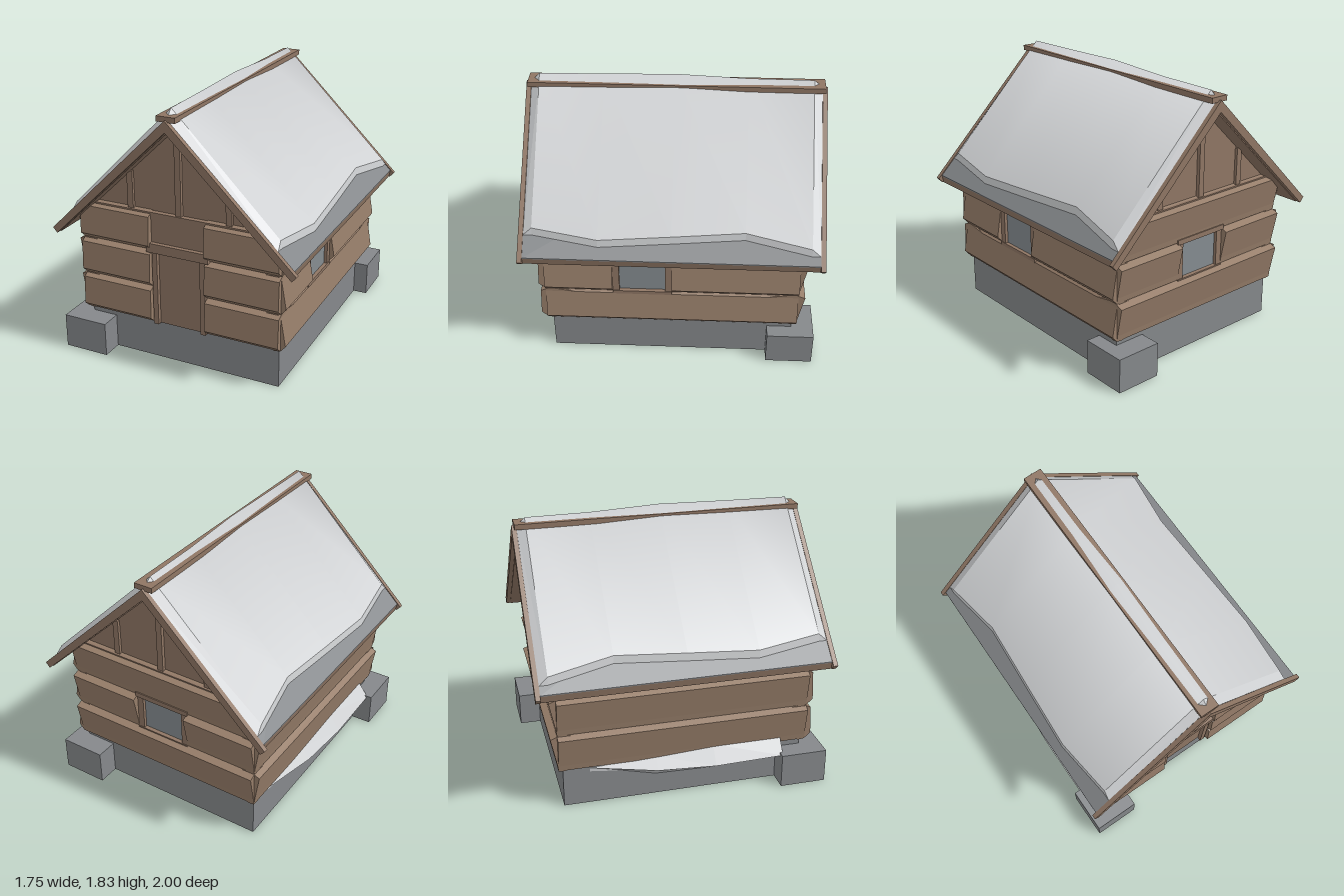
import * as THREE from 'three';

const mat = (name, color, side = THREE.FrontSide) => {
  const m = new THREE.MeshStandardMaterial({ color, side });
  m.name = name;
  return m;
};

export function createModel() {
  const model = new THREE.Group();
  model.name = 'logCabin';
  const logWood = mat('logWood', 0x967d69);
  const trimWood = mat('trimWood', 0x8f7664);
  const stone = mat('stone', 0x85888b, THREE.DoubleSide);
  const snow = mat('snow', 0xd0d2d4, THREE.DoubleSide);
  const glass = mat('windowGlass', 0x858c90);

  const add = (parent, name, geo, material) => {
    const mesh = new THREE.Mesh(geo, material);
    mesh.name = name;
    parent.add(mesh);
    return mesh;
  };
  // box given by its minimum and maximum corners
  const box = (parent, name, m, x0, x1, y0, y1, z0, z1) => {
    const mesh = add(parent, name, new THREE.BoxGeometry(x1 - x0, y1 - y0, z1 - z0), m);
    mesh.position.set((x0 + x1) / 2, (y0 + y1) / 2, (z0 + z1) / 2);
    return mesh;
  };
  // stone block without a bottom face
  const hollowBlock = (name, x0, x1, y1, z0, z1) => {
    const { geometry } = box(model, name, stone, x0, x1, 0, y1, z0, z1);
    const faces = Array.from(geometry.index.array);
    faces.splice(18, 6);
    geometry.setIndex(faces);
    geometry.clearGroups();
  };
  const prism = (parent, name, m, pts, z0, z1) => {
    const shape = new THREE.Shape(pts.map(p => new THREE.Vector2(p[0], p[1])));
    const geo = new THREE.ExtrudeGeometry(shape, { depth: z1 - z0, bevelEnabled: false });
    return add(parent, name, geo.translate(0, 0, z0), m);
  };
  // skin over a row of cross-sections, each a list of [x, y, z]
  const skin = (name, m, sections, smooth = false) => {
    const n = sections[0].length, index = [];
    for (let i = 0; i < sections.length - 1; i++) {
      for (let j = 0; j < n - 1; j++) {
        const a = i * n + j, b = a + n;
        index.push(a, b, b + 1, a, b + 1, a + 1);
      }
    }
    let geo = new THREE.BufferGeometry();
    geo.setAttribute('position', new THREE.Float32BufferAttribute(sections.flat(2), 3));
    geo.setIndex(index);
    if (!smooth) geo = geo.toNonIndexed();
    geo.computeVertexNormals();
    return add(model, name, geo, m);
  };

  // Stone footing, open underneath, with two corner blocks
  hollowBlock('foundation', -0.7, 0.7, 0.275, -0.83, 0.83);
  hollowBlock('frontCornerBlock', -0.84, -0.52, 0.238, 0.66, 0.98);
  hollowBlock('backCornerBlock', 0.48, 0.8, 0.238, -0.98, -0.66);

  // Wall core behind the logs
  box(model, 'wallCore', trimWood, -0.62, 0.62, 0.28, 1.0, -0.77, 0.77);

  // Each wall is built facing +x and turned into place; u runs along the wall
  const makeWall = (name, angle, plane, bottomOut, topOut) => {
    const wall = new THREE.Group();
    wall.name = name;
    wall.rotation.y = angle;
    model.add(wall);
    const log = (row, u0, u1, h = 0.275) => {
      const y = 0.28 + row * 0.265, d = plane;
      prism(wall, 'log', logWood, [
        [d - 0.2, y + 0.045], [d - 0.04, y], [d, y + 0.005], [d + bottomOut, y + 0.045],
        [d + topOut, y + h - 0.03], [d - 0.03, y + h], [d - 0.2, y + h - 0.03],
      ], u0, u1);
    };
    return { wall, log };
  };
  const addWindow = (wall, d, u0, u1) => {
    box(wall, 'windowGlass', glass, d - 0.03, d - 0.022, 0.54, 0.81, u0 + 0.04, u1 - 0.04);
    box(wall, 'windowSill', trimWood, d - 0.1, d + 0.005, 0.525, 0.55, u0, u1);
    box(wall, 'windowLintel', trimWood, d - 0.1, d + 0.01, 0.8, 0.835, u0 - 0.01, u1 + 0.01);
    for (const u of [u0, u1 - 0.045])
      box(wall, 'windowJamb', trimWood, d - 0.1, d, 0.55, 0.8, u, u + 0.045);
  };

  // Front wall with the door
  const front = makeWall('frontWall', -Math.PI / 2, 0.86, 0.045, 0.035);
  for (let row = 0; row < 3; row++) {
    front.log(row, -0.72, -0.2);
    front.log(row, 0.2, 0.72);
  }
  box(front.wall, 'door', trimWood, 0.76, 0.845, 0.275, 0.81, -0.16, 0.16);
  for (const s of [-0.175, 0.175])
    box(front.wall, 'doorJamb', trimWood, 0.76, 0.875, 0.275, 0.81, s - 0.018, s + 0.018);
  box(front.wall, 'doorLintel', trimWood, 0.76, 0.89, 0.805, 0.87, -0.225, 0.225);
  box(front.wall, 'panelOverDoor', trimWood, 0.76, 0.86, 0.87, 1.03, -0.2, 0.2);

  // Back wall with a centred window
  const back = makeWall('backWall', Math.PI / 2, 0.86, 0.005, 0.045);
  back.log(0, -0.72, 0.72);
  back.log(1, -0.72, -0.2);
  back.log(1, 0.2, 0.72);
  back.log(2, -0.72, 0.72);
  addWindow(back.wall, 0.86, -0.2, 0.2);

  // Left wall with a window, right wall plain
  const left = makeWall('leftWall', 0, 0.72, 0.035, 0.0);
  left.log(0, -0.86, 0.86);
  left.log(1, -0.86, 0);
  left.log(1, 0.4, 0.86);
  left.log(2, -0.86, 0.86, 0.2);
  addWindow(left.wall, 0.72, 0, 0.4);
  const right = makeWall('rightWall', Math.PI, 0.72, 0.005, 0.038);
  for (let row = 0; row < 3; row++) right.log(row, -0.86, 0.86, row === 2 ? 0.17 : 0.275);

  // Gables with beam and battens at both ends
  prism(model, 'gable', trimWood, [[-0.7, 1.0], [0.7, 1.0], [0, 1.7]], -0.83, 0.83);
  for (const s of [-1, 1]) {
    const slab = (name, x0, x1, y0, y1, out) =>
      box(model, name, trimWood, x0, x1, y0, y1, Math.min(s * 0.78, s * out), Math.max(s * 0.78, s * out));
    slab('gableBeam', -0.64, 0.64, 1.03, 1.08, 0.865);
    slab('centreBatten', -0.021, 0.021, 1.08, 1.68, 0.855);
    for (const x of [-0.355, 0.355]) slab('sideBatten', x - 0.021, x + 0.021, 1.08, 1.335, 0.85);
  }

  // Roof: wooden deck, thin stone covering, barge boards and ridge cap
  const chevron = (xo, yo, top, xi, yi, inner) =>
    [[-xi, yi], [0, inner], [xi, yi], [xo, yo], [0, top], [-xo, yo]];
  prism(model, 'roofDeck', trimWood, chevron(0.845, 0.915, 1.73, 0.835, 0.867, 1.67), -0.97, 0.97);
  prism(model, 'roofCovering', stone, chevron(0.845, 0.922, 1.742, 0.845, 0.915, 1.73), -0.968, 0.968);
  for (const z of [-1, 0.968])
    prism(model, 'bargeBoards', trimWood, chevron(0.873, 0.902, 1.757, 0.842, 0.867, 1.68), z, z + 0.032);
  box(model, 'ridgeCap', trimWood, -0.065, 0.065, 1.742, 1.778, -0.985, 0.985);

  // Roof snow as [z, eave x, ridge y]: it rises through the ridge cap
  const rows = [[-0.91, 0.802, 1.805], [-0.48, 0.735, 1.808], [0, 0.762, 1.83], [0.48, 0.787, 1.82], [0.91, 0.738, 1.815]];
  const roofY = x => 1.746 - 0.97 * x;
  const slope = ([z, x, y]) => {
    const e = x - 0.008, top = roofY(x) + 0.052;
    return [[e, top, z], [0, y, z], [-e, top, z]];
  };
  skin('roofSnow', snow, rows.map(slope), true);
  const first = rows[0], last = rows[rows.length - 1];
  for (const [z, row] of [[-0.967, first], [0.967, last]]) {
    const x = row[1];
    skin('roofSnowEnd', snow, [[[x, roofY(x), z], [0, 1.755, z], [-x, roofY(x), z]], slope(row)]);
  }
  for (const s of [-1, 1]) {
    const edge = rows.map(([z, x]) => [[s * x, roofY(x), z], [s * (x - 0.008), roofY(x) + 0.052, z]]);
    const tip = (z, x) => [[s * x, roofY(x), z], [s * x, roofY(x), z]];
    skin('roofSnowEdge', snow, [tip(-0.967, first[1]), ...edge, tip(0.967, last[1])]);
  }

  // Snow drift against the right side of the footing
  const drift = [[-0.65, 0.705, 0.275, 0.255], [-0.2, 0.775, 0.3, 0.2], [0.2, 0.8, 0.33, 0.19], [0.68, 0.8, 0.33, 0.2]];
  skin('snowDrift', snow, drift.map(([z, x, top, low]) =>
    [[-0.66, top, z], [-0.715, top, z], [-x, low + 0.02, z], [-0.695, low - 0.05, z]]));

  return model;
}
